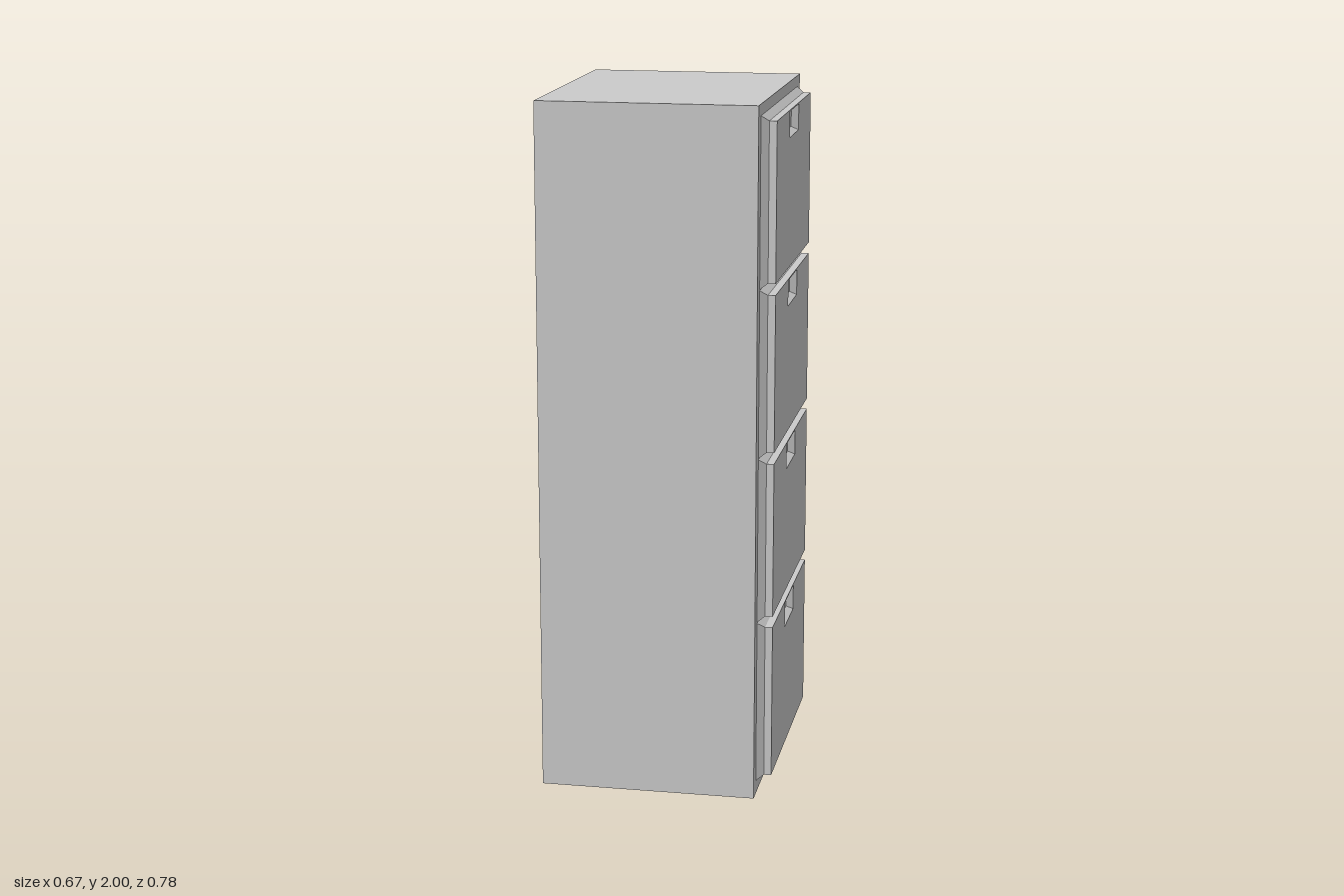
import * as THREE from 'three';

// Rectangular ring of corners in the plane x, counter-clockwise seen from +x
const ring = (x, y0, y1, z0, z1) => [[x, y0, z1], [x, y0, z0], [x, y1, z0], [x, y1, z1]];

// Skin a chain of rings and close the last one
function loftRings(rings) {
  const positions = [];
  const quad = (a, b, c, d) => positions.push(...a, ...b, ...c, ...a, ...c, ...d);
  for (let r = 0; r < rings.length - 1; r++) {
    const a = rings[r], b = rings[r + 1];
    for (let i = 0; i < 4; i++) {
      const j = (i + 1) % 4;
      quad(a[i], a[j], b[j], b[i]);
    }
  }
  quad(...rings[rings.length - 1]);
  const geometry = new THREE.BufferGeometry();
  geometry.setAttribute('position', new THREE.Float32BufferAttribute(positions, 3));
  geometry.computeVertexNormals();
  return geometry;
}

export function createModel() {
  const model = new THREE.Group();
  model.name = 'filingCabinet';
  const material = new THREE.MeshStandardMaterial({ color: 0xcccccc, flatShading: true });

  // Plain cabinet body
  const body = new THREE.Mesh(new THREE.BoxGeometry(0.625, 2, 0.784), material);
  body.name = 'cabinetBody';
  body.position.set(-0.0215, 1, 0);
  model.add(body);

  // Drawer front: bevelled base, raised panel, then a tapered recessed grip
  const height = 0.45;
  const drawerGeometry = loftRings([
    ring(0.291, -0.015, height + 0.015, -0.34, 0.352),
    ring(0.312, 0, height, -0.326, 0.338),
    ring(0.3335, 0, height, -0.326, 0.338),
    ring(0.3335, height - 0.078, height - 0.004, -0.077, 0.094),
    ring(0.313, height - 0.068, height - 0.006, -0.069, 0.086),
  ]);

  // Four stacked drawers
  for (let i = 0; i < 4; i++) {
    const drawer = new THREE.Mesh(drawerGeometry, material);
    drawer.name = `drawerFront${i + 1}`;
    drawer.position.y = 0.054 + i * 0.483;
    model.add(drawer);
  }
  return model;
}
